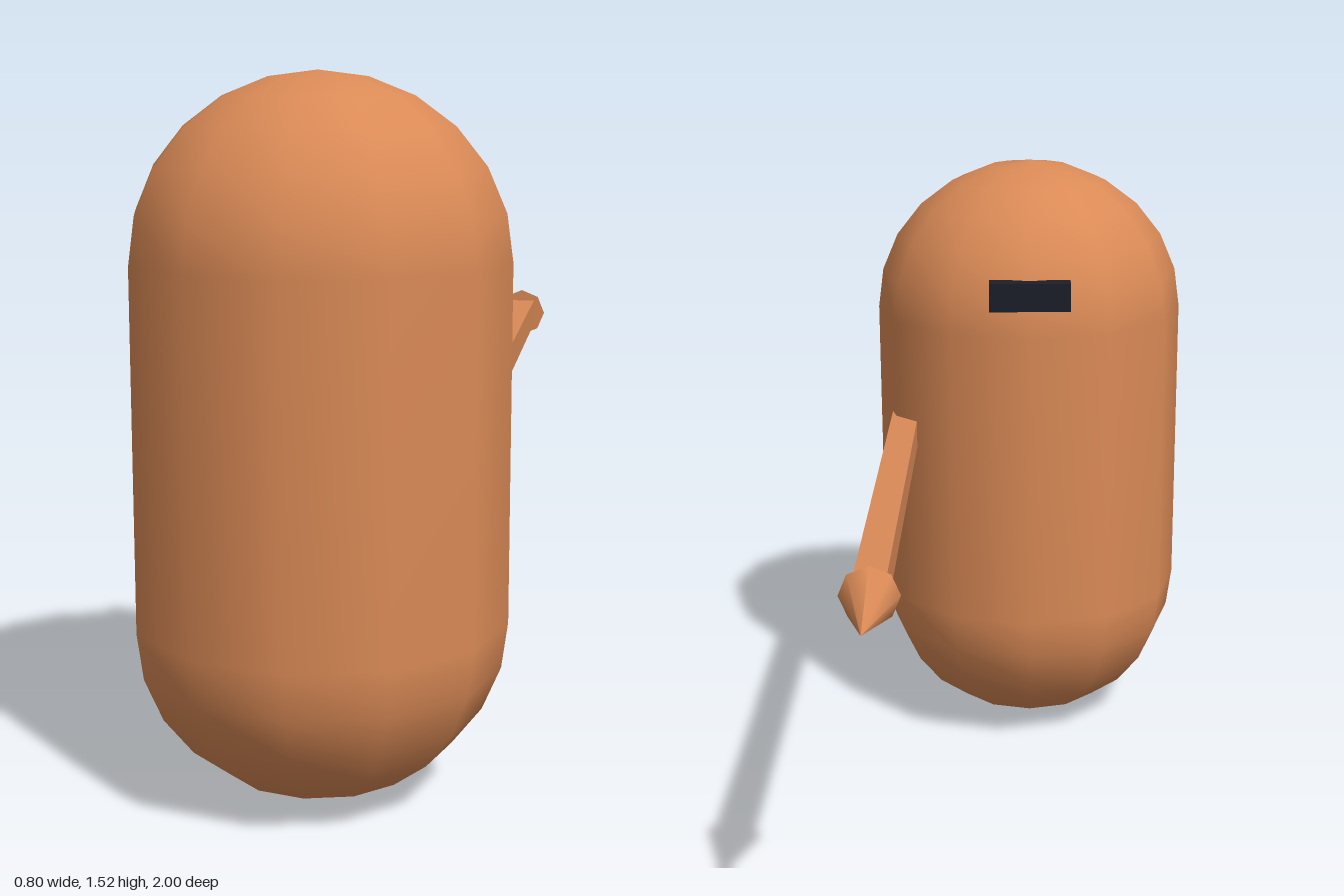
import * as THREE from 'three';

const orange = new THREE.MeshStandardMaterial({ name: 'orange', color: 0xda8a56 });
const black = new THREE.MeshStandardMaterial({ name: 'black', color: 0x1c1e29 });

function addPart(group, name, geometry, material, x, y, z) {
  const mesh = new THREE.Mesh(geometry, material);
  mesh.name = name;
  mesh.position.set(x, y, z);
  group.add(mesh);
  return mesh;
}

// Capsule turned from a profile: two slightly flattened domes joined by a straight wall
function capsuleGeometry(radius, height, capHeight, sides, rings) {
  const profile = [];
  for (const [start, centre] of [[-Math.PI / 2, capHeight], [0, height - capHeight]]) {
    for (let i = 0; i <= rings; i++) {
      const a = start + (i / rings) * Math.PI / 2;
      const r = Math.max(0, Math.cos(a) * radius);
      profile.push(new THREE.Vector2(r < 1e-6 ? 0 : r, centre + Math.sin(a) * capHeight));
    }
  }
  return new THREE.LatheGeometry(profile, sides);
}

export function createModel() {
  const model = new THREE.Group();
  model.name = 'capsuleFigure';

  // Body and visor
  addPart(model, 'body', capsuleGeometry(0.4, 1.525, 0.385, 12, 6), orange, 0, 0, 0.6);
  addPart(model, 'visor', new THREE.BoxGeometry(0.2, 0.07, 0.05), black, 0, 1.245, 0.222);

  // Spear held at the left side, pointing to the back
  const spear = new THREE.Group();
  spear.name = 'spear';
  spear.position.set(0.325, 0.857, 0);
  addPart(spear, 'spearShaft', new THREE.BoxGeometry(0.068, 0.068, 1.3), orange, 0, 0, -0.15);
  const tip = addPart(spear, 'spearTip', new THREE.ConeGeometry(0.063, 0.207, 8), orange, 0, 0, -0.8965);
  tip.rotation.x = -Math.PI / 2;
  model.add(spear);

  return model;
}
